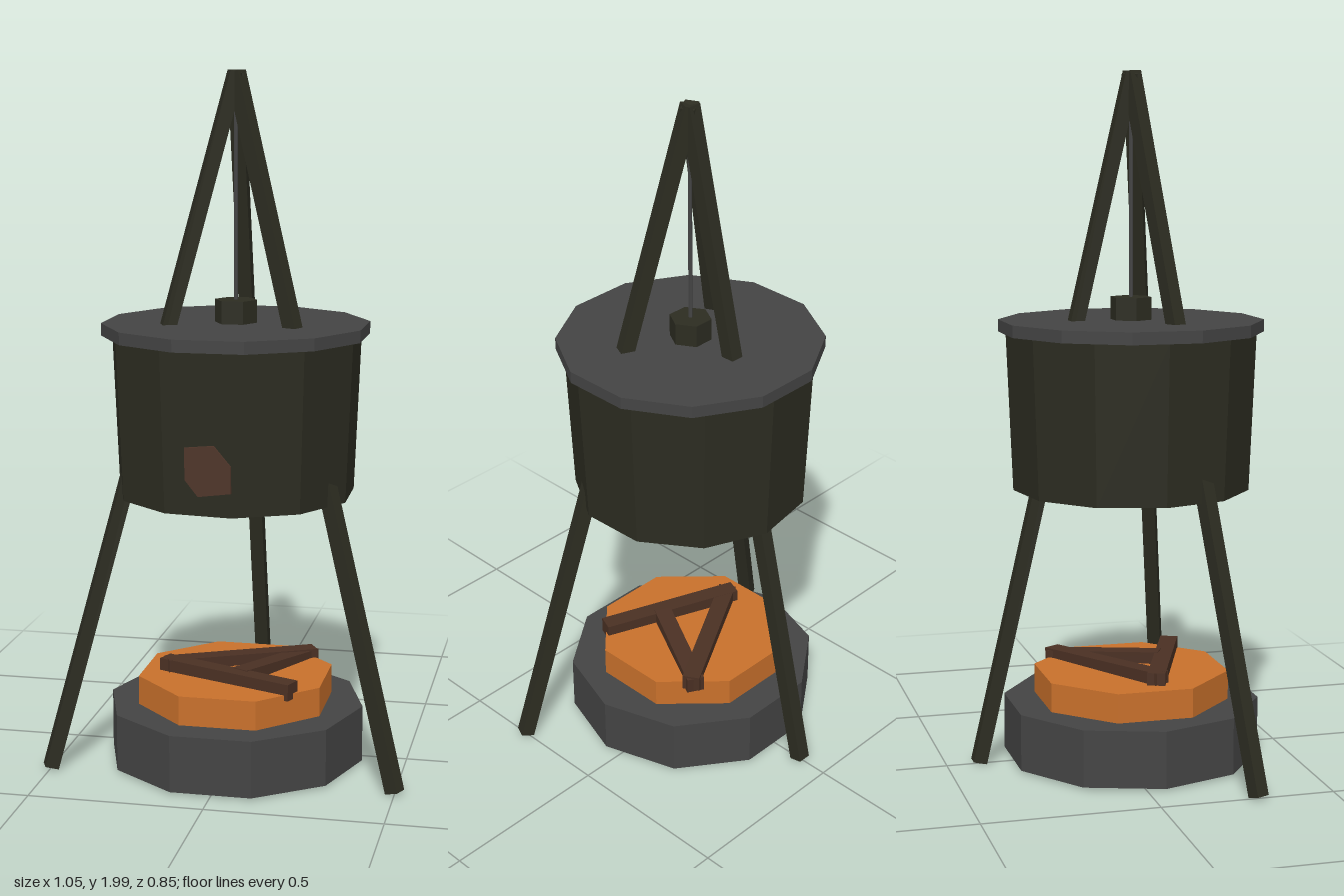
import * as THREE from 'three';

const CZ = 0.052; // depth of the common axis of pot, fire and tripod
const rad = THREE.MathUtils.degToRad;

function material(name, color) {
  const m = new THREE.MeshStandardMaterial({ color });
  m.name = name;
  m.flatShading = true;
  return m;
}

export function createModel() {
  const root = new THREE.Group();
  root.name = 'campfireCauldron';
  const iron = material('dark olive iron', 0x2c2c21);
  const grey = material('dark grey', 0x444444);
  const ember = material('ember orange', 0xc8702b);
  const wood = material('charred wood', 0x4a3023);
  const rust = material('rust brown', 0x50362a);

  const add = (name, geometry, mat) => {
    const mesh = new THREE.Mesh(geometry, mat);
    mesh.name = name;
    root.add(mesh);
    return mesh;
  };

  // Faceted drum standing between two heights on the common axis
  const drum = (name, rTop, rBottom, y0, y1, sides, startDeg, mat) => {
    const g = new THREE.CylinderGeometry(rTop, rBottom, y1 - y0, sides, 1, false, rad(startDeg));
    return add(name, g.translate(0, (y0 + y1) / 2, CZ), mat);
  };

  // Square bar between two points, with an upright side
  const bar = (name, a, b, width, height, mat) => {
    const from = new THREE.Vector3(...a), to = new THREE.Vector3(...b);
    const mesh = add(name, new THREE.BoxGeometry(width, height, from.distanceTo(to)), mat);
    mesh.position.copy(from).lerp(to, 0.5);
    mesh.lookAt(to);
    return mesh;
  };

  // Fire: stone base, glowing bed and sticks
  drum('fireBase', 0.375, 0.375, 0.01, 0.175, 10, 18, grey);
  drum('emberBed', 0.288, 0.288, 0.175, 0.26, 8, 22.5, ember);
  const sticks = [
    [[-0.21, 0.272, 0.07], [0.2, 0.268, 0.23]],
    [[-0.2, 0.272, 0.09], [0.2, 0.262, -0.14]],
    [[0.19, 0.256, -0.15], [0.03, 0.272, 0.15]],
  ];
  sticks.forEach(([a, b], i) => bar('stick' + (i + 1), a, b, 0.052, 0.048, wood));

  // Pot with lid and knob
  drum('pot', 0.362, 0.343, 0.8, 1.256, 11, 9.6, iron);
  drum('lid', 0.383, 0.383, 1.255, 1.29, 12, 15, grey);
  drum('lidKnob', 0.061, 0.061, 1.29, 1.355, 6, 30, iron);

  // Rust patch lying on the front facet of the pot
  const outline = [[-0.074, 0.06], [0.01, 0.07], [0.058, 0.015], [0.058, -0.06], [-0.037, -0.075], [-0.074, -0.03]];
  const shape = new THREE.Shape(outline.map(([x, y]) => new THREE.Vector2(x + 0.04, y)));
  const patch = add('rustPatch', new THREE.ExtrudeGeometry(shape, { depth: 0.006, bevelEnabled: false }), rust);
  const facet = rad(-6.76), reach = 0.3345;
  patch.rotation.set(0.04, facet, 0, 'YXZ');
  patch.position.set(Math.sin(facet) * reach, 0.93, CZ + Math.cos(facet) * reach);

  // Tripod and hanging wire
  const apex = [0, 1.99, CZ];
  const feet = { leftLeg: [0.5, 0.01, 0.28], rightLeg: [-0.5, 0.01, 0.28], backLeg: [0, 0.01, -0.405] };
  for (const [name, foot] of Object.entries(feet)) bar(name, apex, foot, 0.04, 0.04, iron);
  drum('hangingWire', 0.006, 0.006, 1.35, 1.98, 6, 0, grey);

  return root;
}
